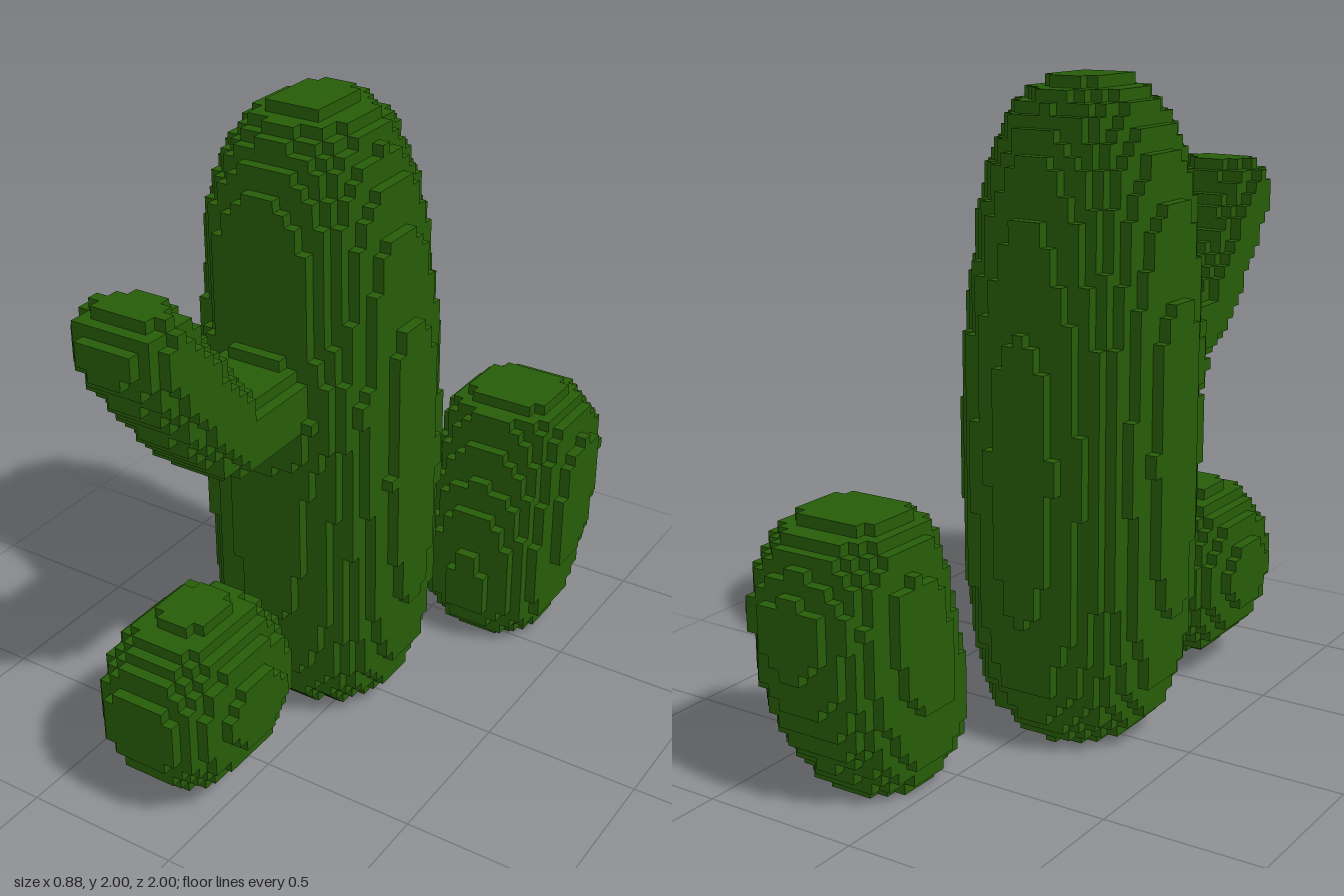
import * as THREE from 'three';

const S = 2 / 57; // voxel size

// Linear look-up in rows of [y, a, b, ...]; null outside the range
function lookup(rows, y) {
  for (let i = 1; i < rows.length; i++) {
    const p = rows[i - 1], q = rows[i];
    if (y >= p[0] && y <= q[0]) {
      const t = (y - p[0]) / (q[0] - p[0]);
      return p.map((v, n) => v + (q[n] - v) * t);
    }
  }
  return null;
}

// Length with rounded-square contours for exponents above 2
const superLength = (a, b, e) => (Math.abs(a) ** e + Math.abs(b) ** e) ** (1 / e);

// Trunk: y, x radius, z radius, z of the axis; the front half is squarer
const trunkRows = [
  [0, 0.11, 0.12, 0], [0.05, 0.19, 0.19, 0], [0.12, 0.25, 0.25, 0], [0.22, 0.288, 0.288, 0],
  [0.46, 0.32, 0.32, 0], [0.9, 0.333, 0.333, 0], [1.26, 0.325, 0.325, 0.005],
  [1.36, 0.318, 0.32, 0.015], [1.62, 0.288, 0.312, 0.03], [1.77, 0.254, 0.284, 0.035],
  [1.87, 0.215, 0.247, 0.035], [1.94, 0.17, 0.19, 0.035], [2, 0.075, 0.105, 0.035],
];
function trunk(x, y, z) {
  const r = lookup(trunkRows, y);
  if (r === null) return false;
  const dz = (z - r[3]) / r[2];
  return superLength((x + 0.105) / r[1], dz, dz > 0 ? 2.45 : 2.05) <= 1;
}

// Leaning lobe behind the trunk: y, x radius, z radius, z of the axis
const lobeRows = [
  [0, 0.12, 0.11, -0.61], [0.04, 0.16, 0.17, -0.61], [0.08, 0.185, 0.2, -0.612],
  [0.14, 0.21, 0.238, -0.62], [0.2, 0.222, 0.258, -0.637], [0.35, 0.236, 0.29, -0.675],
  [0.5, 0.24, 0.286, -0.71], [0.6, 0.24, 0.268, -0.73], [0.67, 0.232, 0.25, -0.73],
  [0.77, 0.205, 0.205, -0.715], [0.81, 0.17, 0.165, -0.7], [0.845, 0.12, 0.1, -0.7],
];
function lobe(x, y, z) {
  const r = lookup(lobeRows, y);
  return r !== null && superLength((x - 0.193) / r[1], (z - r[3]) / r[2], 2.4) <= 1;
}

// Bent arm: flattened tube along a path of [y, z], flared where it meets the trunk
const armPath = [[1.18, 0.2], [1.18, 0.51], [1.215, 0.6], [1.38, 0.735], [1.567, 0.873]];
function arm(x, y, z) {
  const dx = x + 0.105;
  if ((dx / 0.29) ** 2 + ((y - 1.15) / 0.33) ** 2 + ((z - 0.2) / 0.19) ** 2 <= 1) return true;
  for (let i = 1; i < armPath.length; i++) {
    const [ay, az] = armPath[i - 1], [by, bz] = armPath[i];
    const dy = by - ay, dz = bz - az;
    const t = THREE.MathUtils.clamp(((y - ay) * dy + (z - az) * dz) / (dy * dy + dz * dz), 0, 1);
    const d = Math.hypot(y - ay - t * dy, z - az - t * dz);
    if (superLength(dx * 0.78, d, 2.5) <= 0.122) return true;
  }
  return false;
}

// Ball in front, slightly squared when seen from above
const ball = (x, y, z) =>
  Math.hypot(superLength((x + 0.14) / 0.225, (z - 0.652) / 0.284, 2.5), (y - 0.351) / 0.286) <= 1;

const parts = [['trunk', trunk], ['backLobe', lobe], ['frontArm', arm], ['frontBall', ball]];

// The two in-plane axes for each axis keep the corners counter-clockwise
const AXES = [[0, 1, 2], [1, 2, 0], [2, 0, 1]];

export function createModel() {
  const group = new THREE.Group();
  group.name = 'cactus';
  const material = new THREE.MeshStandardMaterial({ color: 0x285e08 });

  // Fill the voxel grid with the index of the part in each cell
  const cells = new Map();
  const key = (c) => c[0] + 20 + 64 * (c[1] + 2) + 4096 * (c[2] + 31);
  for (let i = -12; i <= 12; i++)
    for (let j = 0; j < 57; j++)
      for (let k = -28; k <= 28; k++) {
        const part = parts.findIndex(([, inside]) => inside(i * S, (j + 0.5) * S, k * S));
        if (part >= 0) cells.set(key([i, j, k]), { part, c: [i, j, k] });
      }

  // Emit only the exposed faces
  const positions = parts.map(() => []);
  for (const { part, c } of cells.values())
    for (const [a, u, v] of AXES)
      for (const side of [1, -1]) {
        const next = [...c];
        next[a] += side;
        if (cells.has(key(next))) continue;
        const corner = (du, dv) => {
          const p = [c[0], c[1] + 0.5, c[2]];
          p[a] += side / 2;
          p[u] += du / 2;
          p[v] += (dv * side) / 2;
          return p.map((n) => n * S);
        };
        const q = [corner(-1, -1), corner(1, -1), corner(1, 1), corner(-1, 1)];
        for (const n of [0, 1, 2, 0, 2, 3]) positions[part].push(...q[n]);
      }

  parts.forEach(([name], n) => {
    const geometry = new THREE.BufferGeometry();
    geometry.setAttribute('position', new THREE.Float32BufferAttribute(positions[n], 3));
    geometry.computeVertexNormals();
    const mesh = new THREE.Mesh(geometry, material);
    mesh.name = name;
    group.add(mesh);
  });
  return group;
}
